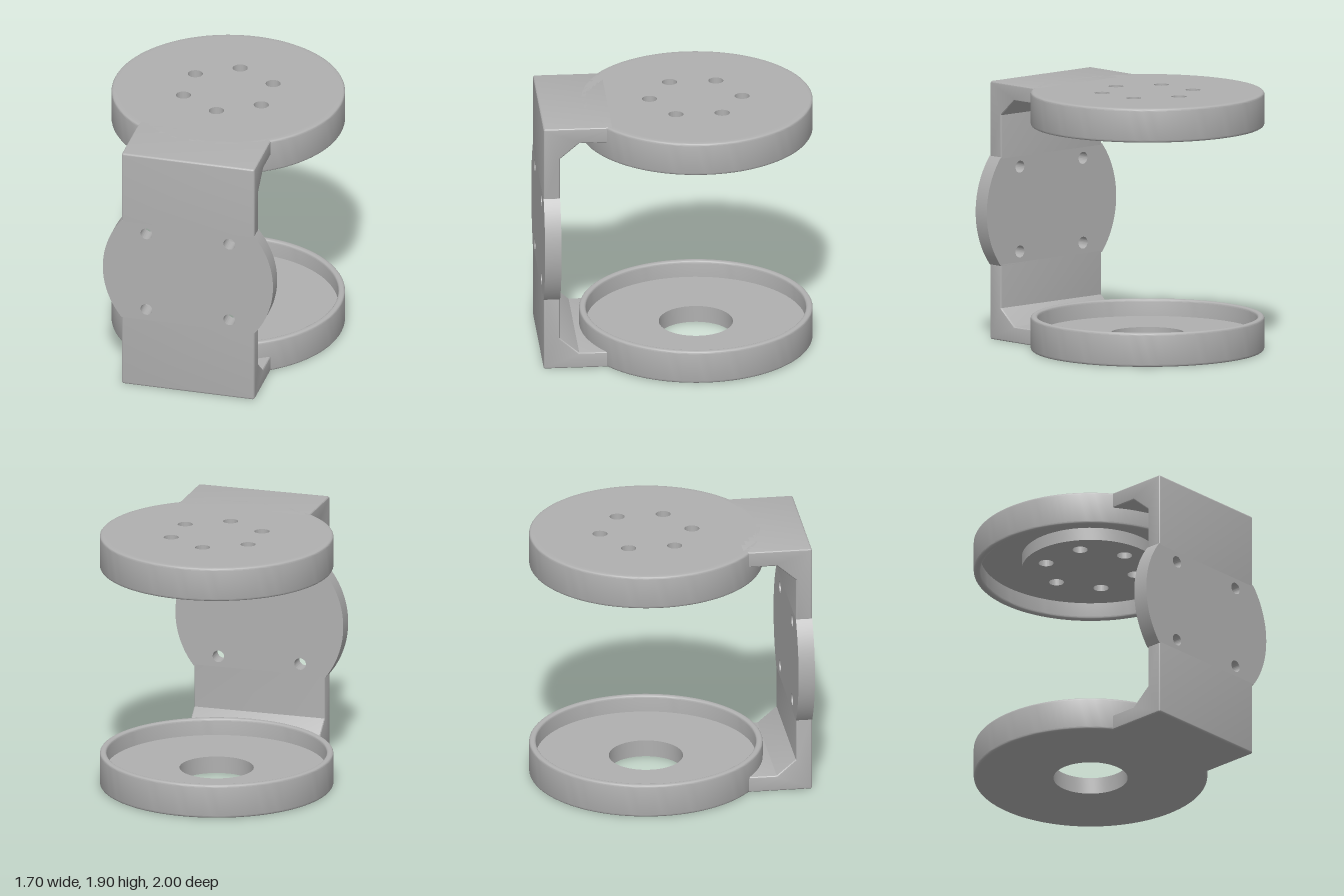
import * as THREE from 'three';
import { toCreasedNormals } from 'three/addons/utils/BufferGeometryUtils.js';

const HEIGHT = 1.9, DISC_Z = -0.15, DISC_R = 0.85, WALL = 0.12, FLOOR = 0.125;

export function createModel() {
  const grey = new THREE.MeshStandardMaterial({ color: 0xb0b0b0 });
  grey.name = 'matte grey';
  const model = new THREE.Group();
  model.name = 'mountingBracket';

  const addMesh = (parent, name, geometry) => {
    const mesh = new THREE.Mesh(toCreasedNormals(geometry, 0.5), grey);
    mesh.name = name;
    parent.add(mesh);
    return mesh;
  };
  const circle = (Type, x, y, r) => new Type().absarc(x, y, r, 0, Math.PI * 2, false);
  const extrude = (shape, depth, options = {}) =>
    new THREE.ExtrudeGeometry(shape, { depth, bevelEnabled: false, curveSegments: 48, ...options });

  // Flat round plate with holes, lying between two heights
  const roundPlate = (radius, holes, y0, y1) => {
    const shape = circle(THREE.Shape, 0, 0, radius);
    for (const [x, y, r] of holes) shape.holes.push(circle(THREE.Path, x, y, r));
    return extrude(shape, y1 - y0).rotateX(-Math.PI / 2).translate(0, y0, DISC_Z);
  };

  // Raised rim with rounded edges
  const rimGeometry = () => {
    const inner = 0.8, top = 0.25, f = 0.018, points = [];
    const fillet = (r, y, start) => {
      for (let i = 0; i <= 4; i++) {
        const a = start + (i / 4) * Math.PI / 2;
        points.push(new THREE.Vector2(r + f * Math.cos(a), y + f * Math.sin(a)));
      }
    };
    points.push(new THREE.Vector2(inner, 0));
    fillet(DISC_R - f, f, -Math.PI / 2);
    fillet(DISC_R - f, top - f, 0);
    fillet(inner + f, top - f, Math.PI / 2);
    points.push(new THREE.Vector2(inner, 0));
    return new THREE.LatheGeometry(points, 96).translate(0, 0, DISC_Z);
  };

  // L-shaped arm with an inside chamfer, drawn as (z, y) and extruded across x
  const armGeometry = () => {
    const s = new THREE.Shape();
    s.moveTo(0.5, 0);
    s.lineTo(0.985, 0);
    s.quadraticCurveTo(1, 0, 1, 0.015);
    s.lineTo(1, 0.56);
    s.lineTo(1 - WALL, 0.56);
    s.lineTo(1 - WALL, 0.24);
    s.lineTo(0.74, WALL);
    s.lineTo(0.5, WALL);
    s.closePath();
    const bevel = 0.015;
    return extrude(s, 1 - 2 * bevel, {
      bevelEnabled: true, bevelSize: bevel, bevelThickness: bevel,
      bevelOffset: -bevel, bevelSegments: 3, curveSegments: 4,
    }).translate(0, 0, -0.5 + bevel).rotateY(-Math.PI / 2);
  };

  // One end: arm, disc floor and rim
  const makeEnd = (name, holes) => {
    const end = new THREE.Group();
    end.name = name;
    addMesh(end, 'arm', armGeometry());
    addMesh(end, 'discFloor', roundPlate(0.81, holes, 0, FLOOR));
    addMesh(end, 'discRim', rimGeometry());
    model.add(end);
    return end;
  };

  // Lower cup with a central opening
  makeEnd('lowerCup', [[0, 0, 0.27]]);

  // Upper cup, turned over, with a ring of screw holes through a round boss
  const ring = [];
  for (let i = 0; i < 6; i++) {
    const a = Math.PI / 2 + i * Math.PI / 3;
    ring.push([0.338 * Math.cos(a), 0.338 * Math.sin(a), 0.055]);
  }
  const upper = makeEnd('upperCup', ring);
  addMesh(upper, 'boss', roundPlate(0.5, ring, FLOOR, 0.222));
  upper.rotation.z = Math.PI;
  upper.position.y = HEIGHT;

  // Middle of the wall: round bulges on both sides and four screw holes
  const wall = new THREE.Shape();
  const a = Math.atan2(0.4, 0.5), mid = HEIGHT / 2;
  wall.absarc(0, mid, 0.64, -a, a, false);
  wall.absarc(0, mid, 0.64, Math.PI - a, Math.PI + a, false);
  wall.closePath();
  for (const x of [-0.312, 0.312])
    for (const y of [-0.312, 0.312])
      wall.holes.push(circle(THREE.Path, x, mid + y, 0.044));
  addMesh(model, 'wallPlate', extrude(wall, WALL).translate(0, 0, 1 - WALL));

  return model;
}
